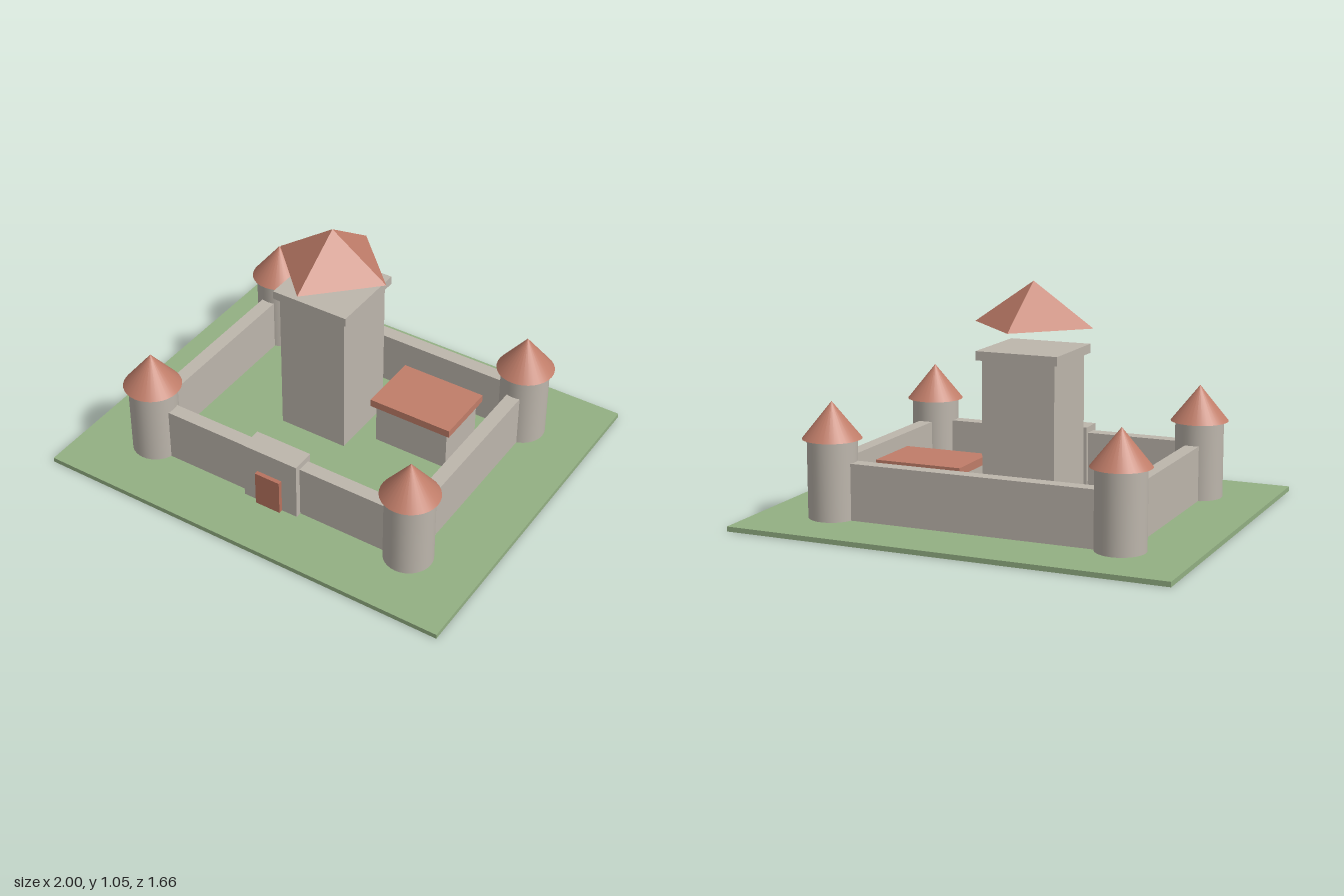
import * as THREE from 'three';

const flat = (name, color) => {
  const m = new THREE.MeshStandardMaterial({ color });
  m.name = name;
  return m;
};

export function createModel() {
  const castle = new THREE.Group();
  castle.name = 'castle';
  const stone = flat('stone', 0xbdb6ac);
  const grass = flat('grass', 0x93b083);
  const tile = flat('roofTile', 0xc07d69);
  const redWood = flat('redWood', 0xb8735f);
  const base = 0.022;

  const add = (name, geometry, material, x, y, z, parent = castle) => {
    const mesh = new THREE.Mesh(geometry, material);
    mesh.name = name;
    mesh.position.set(x, y, z);
    parent.add(mesh);
    return mesh;
  };
  // Box placed by its centre in plan and its bottom and top heights
  const block = (name, material, x, z, w, d, y0, y1) =>
    add(name, new THREE.BoxGeometry(w, y1 - y0, d), material, x, (y0 + y1) / 2, z);

  // Lawn
  block('ground', grass, 0, 0, 2, 1.664, 0, base);

  // Corner towers with conical roofs
  const shaft = new THREE.CylinderGeometry(0.11, 0.11, 0.35, 32);
  const cone = new THREE.ConeGeometry(0.131, 0.163, 32);
  for (const sx of [-1, 1]) {
    for (const sz of [-1, 1]) {
      const tower = new THREE.Group();
      tower.name = 'cornerTower';
      tower.position.set(sx * 0.667, base, sz * 0.5);
      castle.add(tower);
      add('towerShaft', shaft, stone, 0, 0.175, 0, tower);
      add('towerRoof', cone, tile, 0, 0.4315, 0, tower);
    }
  }

  // Curtain walls between the towers
  for (const s of [-1, 1]) {
    block(s > 0 ? 'frontWall' : 'backWall', stone, 0, s * 0.5, 1.2, 0.065, base, 0.274);
    block(s > 0 ? 'leftWall' : 'rightWall', stone, s * 0.667, 0, 0.065, 0.86, base, 0.274);
  }

  // Gatehouse and its door
  block('gatehouse', stone, 0, 0.505, 0.275, 0.11, base, 0.302);
  block('gateDoor', redWood, -0.002, 0.565, 0.125, 0.03, base, 0.19);

  // Keep with a parapet slab and a raised four-sided roof
  const k = -0.113;
  block('keep', stone, k, k, 0.335, 0.335, base, 0.722);
  block('keepParapet', stone, k, k, 0.376, 0.376, 0.722, 0.762);
  const pyramid = new THREE.ConeGeometry(0.276, 0.19, 4).toNonIndexed();
  pyramid.computeVertexNormals();
  add('keepRoof', pyramid, tile, k, 0.956, k);

  // Hall in the courtyard
  block('hall', stone, 0.333, -0.2, 0.365, 0.265, base, 0.22);
  block('hallRoof', tile, 0.333, -0.2, 0.407, 0.3, 0.22, 0.256);

  return castle;
}
